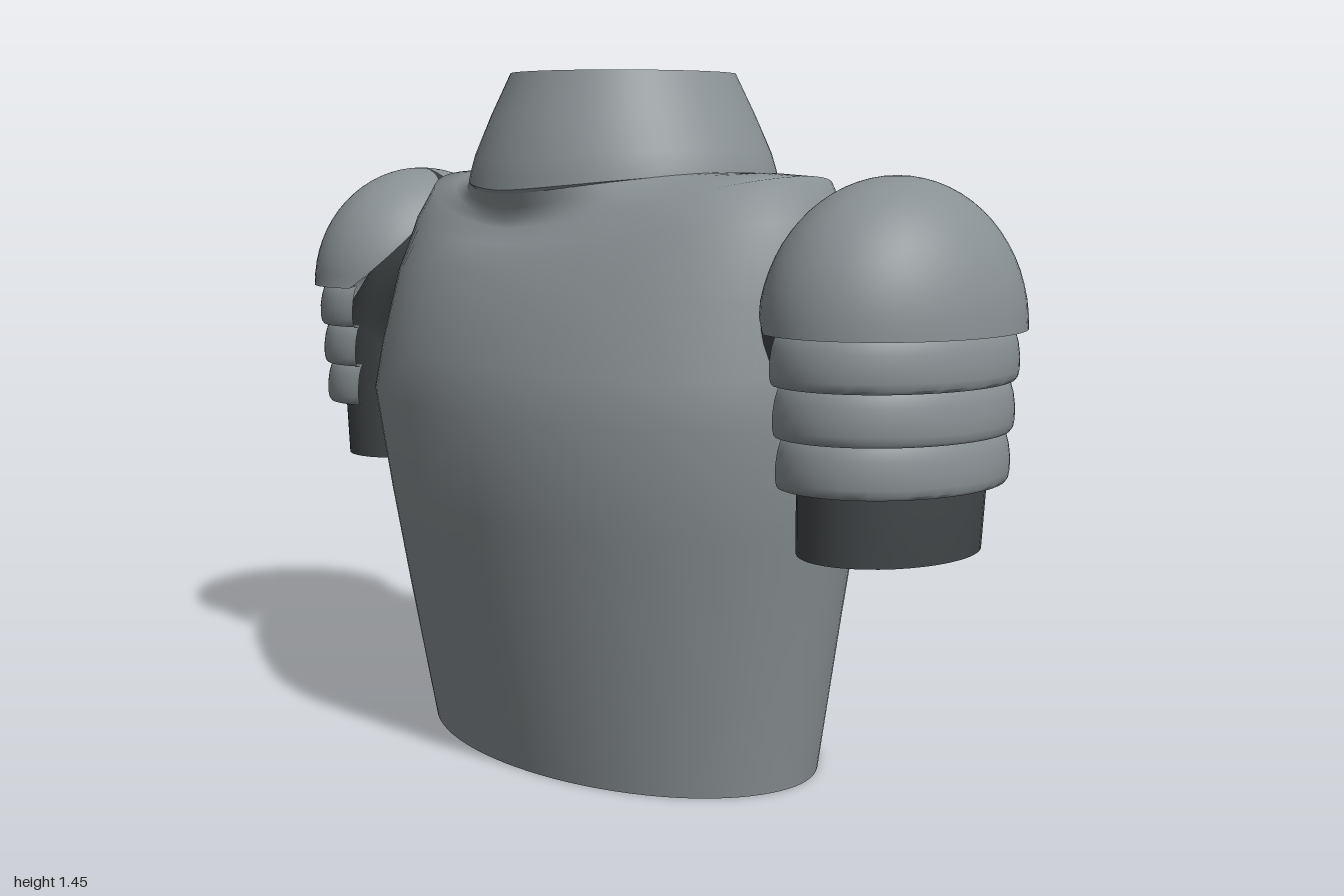
import * as THREE from 'three';
import { toCreasedNormals } from 'three/addons/utils/BufferGeometryUtils.js';

const MID_Z = -0.057; // depth of the shoulder line

const mat = (name, color) =>
  new THREE.MeshStandardMaterial({ name, color, side: THREE.DoubleSide });

// Skin over cross-sections: point(ring, u) gives [x, y, z] for u in 0..1
function loft(rings, point, { segments = 64, closed = true, crease = 0.7 } = {}) {
  const pos = [], idx = [];
  const cols = closed ? segments : segments + 1;
  for (const r of rings)
    for (let j = 0; j < cols; j++) pos.push(...point(r, j / segments));
  for (let i = 0; i < rings.length - 1; i++)
    for (let j = 0; j < segments; j++) {
      const k = (j + 1) % cols;
      const a = i * cols + j, b = i * cols + k, c = a + cols, d = b + cols;
      idx.push(a, c, b, b, c, d);
    }
  const g = new THREE.BufferGeometry();
  g.setAttribute('position', new THREE.Float32BufferAttribute(pos, 3));
  g.setIndex(idx);
  return toCreasedNormals(g, crease);
}

// Front and back half-ellipses meeting at the shoulder line;
// the height runs from yMid (front and back) to ySide
function saddleRing([rx, ySide, yMid, zFront, zBack], u) {
  const t = u * Math.PI * 2, c = Math.cos(t), s = Math.sin(t);
  return [
    rx * c,
    yMid + (ySide - yMid) * Math.abs(c) ** 1.5,
    MID_Z + s * (s > 0 ? zFront - MID_Z : MID_Z - zBack),
  ];
}

function add(parent, name, geometry, material) {
  const m = new THREE.Mesh(geometry, material);
  m.name = name;
  parent.add(m);
  return m;
}

// Flat horizontal ellipse
function addPlate(parent, name, material, rx, rz, x, y, z) {
  const plate = add(parent, name, new THREE.CircleGeometry(1, 48), material);
  plate.rotation.x = -Math.PI / 2;
  plate.scale.set(rx, rz, 1);
  plate.position.set(x, y, z);
}

function createArm(shell, fabric) {
  const arm = new THREE.Group();
  const cx = 0.78;

  // Bent sleeve from the cuff into the side of the torso: x, y, tilt, rx, rz
  const sleeve = [
    [0.78, 0.54, 0, 0.147, 0.2],
    [0.785, 0.7, 0, 0.152, 0.205],
    [0.77, 0.86, 0.5, 0.17, 0.2],
    [0.7, 0.945, 1.2, 0.175, 0.175],
    [0.61, 0.95, 1.57, 0.175, 0.155],
    [0.5, 0.95, 1.57, 0.175, 0.15],
  ];
  add(arm, 'sleeve', loft(sleeve, ([x, y, tilt, rx, rz], u) => {
    const t = u * Math.PI * 2, c = rx * Math.cos(t);
    return [x + c * Math.cos(tilt), y + c * Math.sin(tilt), rz * Math.sin(t)];
  }, { segments: 40, crease: 0.9 }), fabric);
  addPlate(arm, 'sleeveEnd', fabric, 0.147, 0.2, cx, 0.55, 0);

  // Shell sections open toward the torso: rx, rz, y, half sweep
  const openRing = ([rx, rz, y, sweep], u) => {
    const t = (u * 2 - 1) * sweep;
    return [cx + rx * Math.cos(t), y, rz * Math.sin(t)];
  };

  // Shoulder dome: the opening narrows toward the top
  const low = THREE.MathUtils.degToRad(111);
  const dome = [[0.195, 0.255, 0.962, low]];
  for (let i = 0; i <= 16; i++) {
    const a = (i / 16) * Math.PI / 2, h = Math.sin(a);
    const r = Math.max(Math.cos(a), 0.002);
    dome.push([0.22 * r, 0.28 * r, 0.957 + 0.283 * h, low + (Math.PI - low) * h ** 0.85]);
  }
  add(arm, 'shoulderDome', loft(dome, openRing, { segments: 56, closed: false }), shell);

  // Three overlapping upper arm bands
  const profile = [[0.92, 0], [0.97, 0.001], [0.99, 0.007], [1, 0.02], [1, 0.045], [0.985, 0.07], [0.96, 0.09], [0.93, 0.1]];
  for (let i = 0; i < 3; i++) {
    const rx = 0.203 - 0.005 * i, rz = 0.268 - 0.008 * i, y0 = 0.862 - 0.095 * i;
    const rings = profile.map(([k, dy]) => [rx * k, rz * k, y0 + dy, low]);
    add(arm, 'armBand' + (i + 1), loft(rings, openRing, { segments: 48, closed: false, crease: 1 }), shell);
  }
  return arm;
}

export function createModel() {
  const model = new THREE.Group();
  model.name = 'torsoArmour';
  const shell = mat('greyShell', 0x899093);
  const fabric = mat('darkFabric', 0x424648);

  // Torso shell, turned up at the neck to meet the collar:
  // half width, side height, middle height, front z, back z
  const torso = [
    [0.525, 0, 0, 0.295, -0.37],
    [0.572, 0.32, 0.32, 0.36, -0.41],
    [0.615, 0.54, 0.54, 0.396, -0.419],
    [0.65, 0.76, 0.76, 0.43, -0.425],
    [0.642, 0.85, 0.86, 0.408, -0.422],
    [0.62, 1.0, 1.05, 0.355, -0.41],
    [0.592, 1.15, 1.095, 0.302, -0.382],
    [0.545, 1.235, 1.125, 0.267, -0.364],
    [0.44, 1.24, 1.14, 0.257, -0.356],
    [0.37, 1.24, 1.165, 0.262, -0.362],
    [0.325, 1.24, 1.2, 0.272, -0.38],
  ];
  add(model, 'torso', loft(torso, saddleRing, { segments: 96, crease: 1.3 }), shell);

  // Hem edge, and the recessed lining that closes the inside
  const hem = [[0.51, 0, 0, 0.28, -0.355], [0.525, 0, 0, 0.295, -0.37]];
  add(model, 'hem', loft(hem, saddleRing, { segments: 96 }), shell);
  const inside = [
    [0.001, 0.2, 0.2, MID_Z + 0.001, MID_Z - 0.001],
    [0.535, 0.2, 0.2, 0.315, -0.375],
    [0.51, 0, 0, 0.28, -0.355],
  ];
  add(model, 'torsoLining', loft(inside, saddleRing, { segments: 96 }), fabric);

  // Flared collar with a rim and inner wall: rx, rz, side height, middle height
  const collar = [
    [0.29, 0.3, 1.237, 1.2],
    [0.322, 0.328, 1.232, 1.195],
    [0.33, 0.334, 1.237, 1.203],
    [0.327, 0.33, 1.25, 1.225],
    [0.314, 0.321, 1.285, 1.265],
    [0.275, 0.288, 1.36, 1.355],
    [0.23, 0.248, 1.445, 1.445],
    [0.219, 0.238, 1.445, 1.445],
    [0.24, 0.255, 1.35, 1.35],
    [0.27, 0.28, 1.21, 1.21],
  ].map(([rx, rz, ys, ym]) => [rx, ys, ym, rz + MID_Z, -rz + MID_Z]);
  add(model, 'collar', loft(collar, saddleRing), shell);
  addPlate(model, 'neckLining', fabric, 0.275, 0.285, 0, 1.211, MID_Z);

  // Back seam
  const seam = new THREE.CatmullRomCurve3(
    [[0.08, -0.38], [0.32, -0.41], [0.54, -0.419], [0.76, -0.425], [1.05, -0.41], [1.1, -0.38]]
      .map(([y, z]) => new THREE.Vector3(0, y, z)));
  add(model, 'backSeam', new THREE.TubeGeometry(seam, 40, 0.005, 6), fabric);

  // The arm is symmetric front to back, so a half turn gives the other side
  for (const [name, turn] of [['leftArm', 0], ['rightArm', Math.PI]]) {
    const arm = createArm(shell, fabric);
    arm.name = name;
    arm.position.z = MID_Z;
    arm.rotation.y = turn;
    model.add(arm);
  }
  return model;
}
